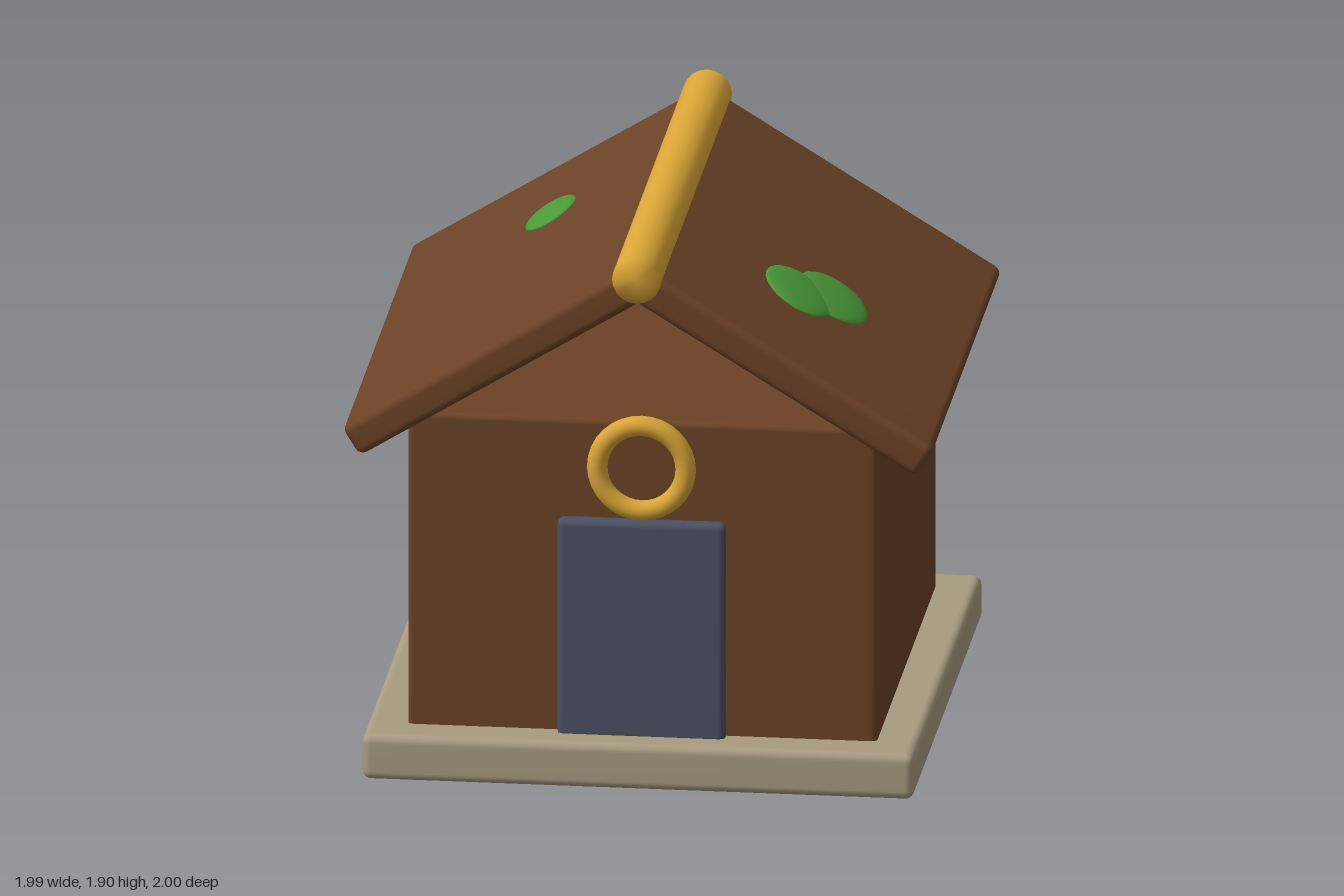
import * as THREE from 'three';
import { mergeVertices } from 'three/addons/utils/BufferGeometryUtils.js';
import { RoundedBoxGeometry } from 'three/addons/geometries/RoundedBoxGeometry.js';

const material = (name, color) => {
  const m = new THREE.MeshStandardMaterial({ color });
  m.name = name;
  return m;
};

// Weld the corners so that shading flows softly over the edges
function soften(geometry) {
  geometry.deleteAttribute('uv');
  geometry.deleteAttribute('normal');
  const welded = mergeVertices(geometry, 1e-4);
  welded.clearGroups();
  welded.computeVertexNormals();
  return welded;
}

export function createModel() {
  const wood = material('brown wood', 0x6b4226);
  const stone = material('pale stone', 0xa89c80);
  const gold = material('gold', 0xdaa636);
  const slate = material('slate blue', 0x4a5064);
  const moss = material('moss green', 0x4a9a38);

  const model = new THREE.Group();
  model.name = 'shrine';

  const add = (name, geometry, mat, x, y, z, parent = model) => {
    const mesh = new THREE.Mesh(geometry, mat);
    mesh.name = name;
    mesh.position.set(x, y, z);
    parent.add(mesh);
    return mesh;
  };
  const box = (w, h, d, r) => soften(new RoundedBoxGeometry(w, h, d, 3, r));

  // Plinth, body and door
  add('base', box(1.87, 0.16, 1.95, 0.03), stone, 0, 0.08, 0);
  add('walls', box(1.59, 1.125, 1.67, 0.02), wood, 0, 0.7025, 0);
  add('door', box(0.57, 0.78, 0.06, 0.025), slate, 0, 0.53, 0.847);

  // Ring above the door
  add('doorRing', new THREE.TorusGeometry(0.15, 0.035, 12, 32), gold, 0, 1.107, 0.86);

  // Two sloping roof panels, each with its moss in panel coordinates
  const pitch = 0.55;
  const length = 1.144;
  const thickness = 0.12;
  const midX = 0.4875;
  // side, x, z, radius across, radius along z
  const patches = [
    [1, 0.57, 0.2, 0.115, 0.17],
    [1, 0.47, 0.325, 0.112, 0.168],
    [-1, -0.455, -0.37, 0.085, 0.122],
  ];
  for (const side of [1, -1]) {
    const roof = new THREE.Group();
    roof.name = side > 0 ? 'leftRoof' : 'rightRoof';
    roof.position.set(side * midX, 1.494, 0);
    roof.rotation.z = -side * pitch;
    model.add(roof);
    add('roofPanel', box(length, thickness, 1.95, 0.03), wood, 0, 0, 0, roof);

    for (const [s, x, z, rx, rz] of patches) {
      if (s !== side) continue;
      const top = thickness / 2;
      const u = (x - side * (midX + top * Math.sin(pitch))) / Math.cos(pitch);
      const patch = add('mossPatch', new THREE.SphereGeometry(1, 24, 16), moss, u, top, z, roof);
      patch.scale.set(rx / Math.cos(pitch), 0.022, rz);
    }
  }

  // Ridge pole
  const pole = new THREE.CylinderGeometry(0.083, 0.083, 2, 20).rotateX(Math.PI / 2);
  add('ridgePole', soften(pole), gold, 0, 1.82, 0);

  return model;
}
